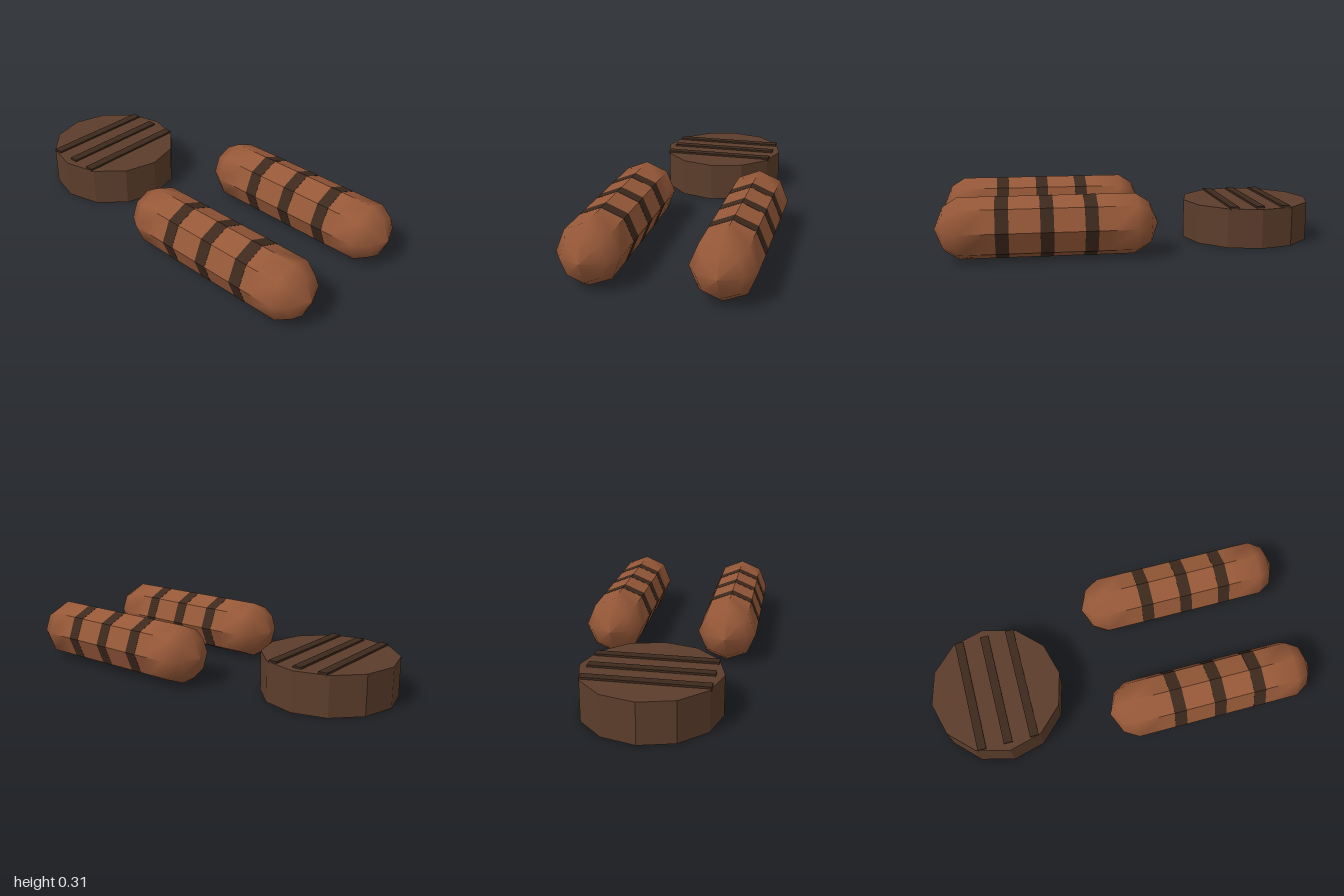
import * as THREE from 'three';

const mat = (color, flatShading = false) => new THREE.MeshStandardMaterial({ color, flatShading });

// Eight-sided body along y: smooth rounded ends blending into a faceted middle
function sausageGeometry() {
  const half = [[0.553, 0], [0.508, 0.11], [0.436, 0.155], [0.292, 0.155]];
  const profile = [
    ...half.map(([y, r]) => new THREE.Vector2(r, -y)),
    ...half.slice().reverse().map(([y, r]) => new THREE.Vector2(r, y)),
  ];
  const geo = new THREE.LatheGeometry(profile, 8).toNonIndexed();
  const flat = geo.clone();
  flat.computeVertexNormals();
  const p = geo.attributes.position, n = geo.attributes.normal, f = flat.attributes.normal;
  for (let i = 0; i < p.count; i++) {
    if (Math.abs(p.getY(i)) < 0.35) n.setXYZ(i, f.getX(i), f.getY(i), f.getZ(i));
  }
  return geo;
}

export function createModel() {
  const model = new THREE.Group();
  const sausageMat = mat(0x965838);
  const pattyMat = mat(0x5c3d2b, true);
  const charMat = mat(0x3d291d, true);

  const add = (parent, name, geo, material, x, y, z) => {
    const mesh = new THREE.Mesh(geo, material);
    mesh.name = name;
    mesh.position.set(x, y, z);
    parent.add(mesh);
    return mesh;
  };

  // Two sausages, each with three grill bands
  const bodyGeo = sausageGeometry();
  const bandGeo = new THREE.CylinderGeometry(0.156, 0.156, 0.065, 8);
  for (const side of [-1, 1]) {
    const sausage = new THREE.Group();
    sausage.name = side > 0 ? 'frontSausage' : 'backSausage';
    sausage.position.set(0.447, 0.156, side * 0.31);
    add(sausage, 'sausageBody', bodyGeo, sausageMat, 0, 0, 0).rotation.z = -Math.PI / 2;
    for (const i of [-1, 0, 1]) {
      add(sausage, 'grillBand', bandGeo, charMat, 0.009 + i * 0.216, 0, 0).rotation.z = -Math.PI / 2;
    }
    model.add(sausage);
  }

  // Patty with three raised grill marks
  const patty = new THREE.Group();
  patty.name = 'patty';
  patty.position.set(-0.656, 0, 0.03);
  add(patty, 'pattyBody', new THREE.CylinderGeometry(0.344, 0.344, 0.207, 12), pattyMat, 0, 0.1035, 0);
  const markGeo = new THREE.BoxGeometry(0.046, 0.02, 0.606);
  for (const i of [-1, 0, 1]) add(patty, 'grillMark', markGeo, charMat, i * 0.138, 0.207, 0);
  model.add(patty);

  return model;
}
